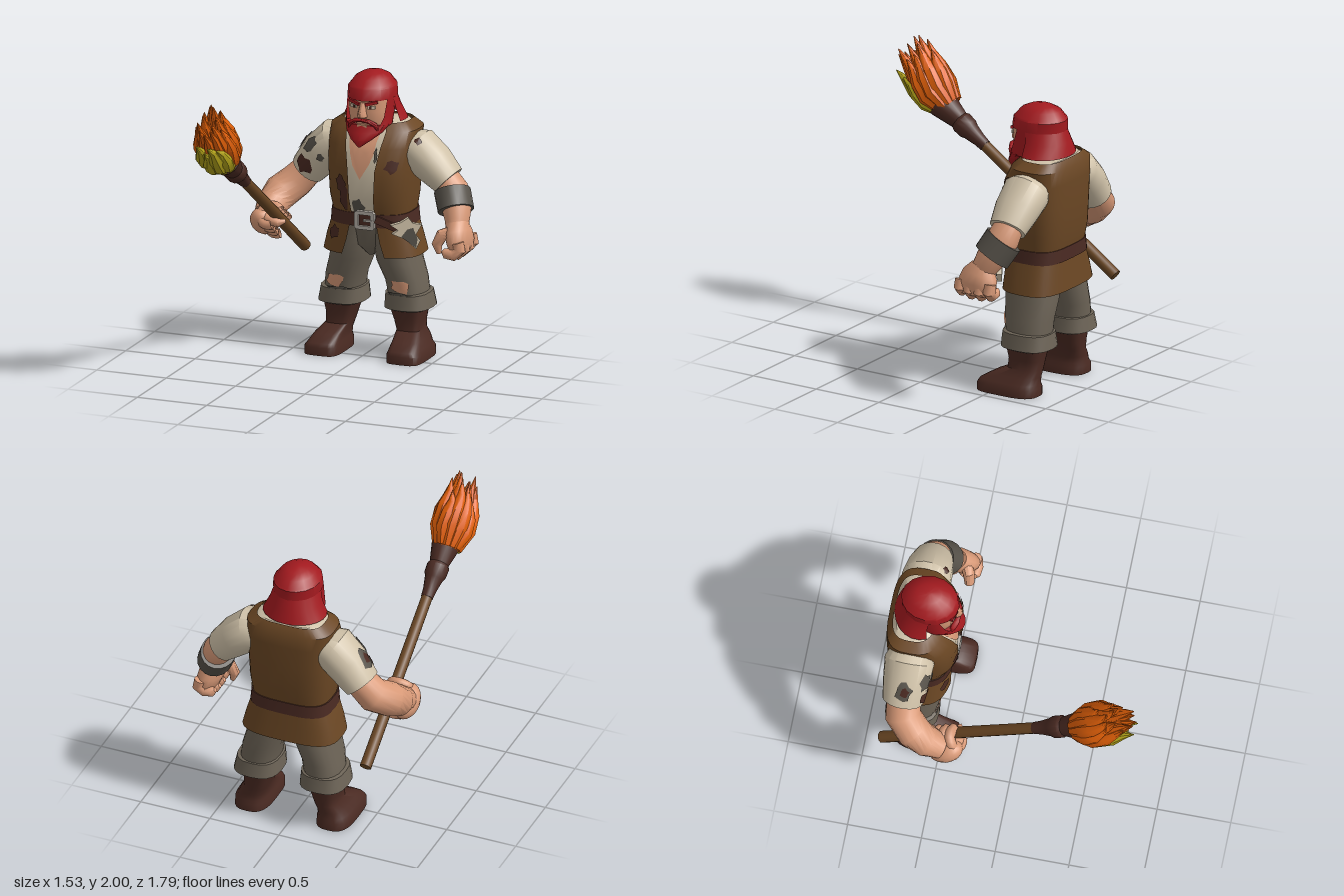
import * as THREE from 'three';
import { toCreasedNormals } from 'three/addons/utils/BufferGeometryUtils.js';

const paint = (name, color) => Object.assign(new THREE.MeshStandardMaterial({ color, side: THREE.DoubleSide }), { name });
const V = (x, y, z) => new THREE.Vector3(x, y, z);

// Point on a skin stretched over sections [x, y, z, rx, rz, openHalfAngle]; angle 0 faces +z.
// pow and backPow square off the front and back halves of each section.
function surface(rows, bent, pow, backPow) {
  const c = rows.map(r => V(r[0], r[1], r[2]));
  const frames = c.map((p, i) => {
    const t = bent ? c[Math.min(i + 1, c.length - 1)].clone().sub(c[Math.max(i - 1, 0)]).normalize() : V(0, 1, 0);
    const u = V(0, 0, 1).addScaledVector(t, -t.z).normalize();
    return [u, t.clone().cross(u)];
  });
  const at = (i, a, push) => {
    const bulge = v => Math.sign(v) * Math.abs(v) ** (Math.cos(a) < 0 ? backPow : pow);
    return c[i].clone().addScaledVector(frames[i][0], bulge(Math.cos(a)) * (rows[i][4] + push))
      .addScaledVector(frames[i][1], bulge(Math.sin(a)) * (rows[i][3] + push));
  };
  return (t, a, push = 0) => {
    const i = Math.max(0, Math.min(rows.length - 2, Math.floor(t)));
    return at(i, a, push).lerp(at(i + 1, a, push), t - i);
  };
}

function build(points, index) {
  const g = new THREE.BufferGeometry().setFromPoints(points);
  g.setIndex(index);
  return toCreasedNormals(g, 0.75);
}

function mesh(parent, name, mat, geo, pos = [0, 0, 0], rot = [0, 0, 0]) {
  const m = new THREE.Mesh(geo, mat);
  m.name = name;
  m.position.set(...pos);
  m.rotation.set(...rot);
  parent.add(m);
  return m;
}

function loft(parent, name, mat, rows, { n = 20, bent = false, pow = 1, backPow = pow } = {}) {
  const s = surface(rows, bent, pow, backPow), pts = [], idx = [], w = n + 1, last = rows.length - 1;
  const open = rows[0][5] !== undefined;
  rows.forEach((r, i) => {
    const o = r[5] || 0;
    for (let j = 0; j <= n; j++) pts.push(s(i, o + (2 * Math.PI - 2 * o) * j / n));
  });
  for (let i = 0; i < last; i++) for (let j = 0; j < n; j++) {
    const a = i * w + j;
    idx.push(a, a + 1, a + w + 1, a, a + w + 1, a + w);
  }
  if (!open) for (const i of [0, last]) {
    const k = pts.push(V(rows[i][0], rows[i][1], rows[i][2])) - 1;
    for (let j = 0; j < n; j++) {
      const a = i * w + j;
      idx.push(k, ...(i ? [a, a + 1] : [a + 1, a]));
    }
  }
  mesh(parent, name, mat, build(pts, idx));
  return s;
}

// Thin painted patch lying on a surface; outline is [t, angle] pairs.
function patch(parent, name, mat, s, outline, push = 0.007) {
  const n = outline.length, R = 4, pts = [], idx = [];
  const mid = [0, 1].map(k => outline.reduce((v, p) => v + p[k], 0) / n);
  for (let r = 0; r <= R; r++) for (const p of outline)
    pts.push(s(mid[0] + (p[0] - mid[0]) * r / R, mid[1] + (p[1] - mid[1]) * r / R, push));
  for (let r = 0; r < R; r++) for (let j = 0; j < n; j++) {
    const a = r * n + j, b = r * n + (j + 1) % n;
    idx.push(a, a + n, b + n, a, b + n, b);
  }
  mesh(parent, name, mat, build(pts, idx));
}
const blob = (t, a, dt, da) => Array.from({ length: 11 }, (_, i) => {
  const q = i / 11 * 2 * Math.PI, k = 0.9 + 0.18 * Math.sin(i * 2.6 + t * 5);
  return [t + Math.sin(q) * dt * k, a + Math.cos(q) * da * k];
});

export function createModel() {
  const root = new THREE.Group();
  const red = paint('red', 0xa31a1f), skin = paint('skin', 0xd99a78), leather = paint('brown', 0x6b4724),
    dark = paint('darkBrown', 0x4a2a22), cloth = paint('trouserGrey', 0x6c6356), linen = paint('linen', 0xcfc1a8),
    grey = paint('darkGrey', 0x57524a), orange = paint('orange', 0xe26008), yellow = paint('yellow', 0xb3a31a),
    metal = paint('metal', 0xb5aea6);
  const limb = { bent: true, n: 18 }, boxy = { pow: 0.75, backPow: 0.6, n: 32 };

  // Torso: shirt, open vest, belt and coat skirt
  const vestRows = [[.015, .98, -.675, .272, .208, .2], [.015, 1.1, -.667, .29, .237, .2], [.015, 1.3, -.668, .302, .242, .22],
    [.015, 1.45, -.685, .306, .226, .3], [.015, 1.555, -.712, .306, .195, .36], [.015, 1.605, -.722, .235, .15, .42]];
  const shirt = loft(root, 'shirt', linen, vestRows.map(r => [r[0], r[1] - .008, r[2], r[3] - .022, r[4] - .022]), boxy);
  const vest = loft(root, 'vest', leather, vestRows, boxy);
  const skirt = loft(root, 'coatSkirt', leather, [[.014, .7, -.685, .346, .225, .34], [.013, .8, -.682, .322, .217, .27],
    [.015, .95, -.675, .275, .208, .22]], boxy);
  loft(root, 'belt', dark, [[.015, .905, -.677, .29, .218], [.015, .995, -.675, .282, .216]], boxy);
  patch(root, 'bareChest', skin, shirt, [[1.7, -.02], [2.3, .09], [2.8, .17], [3.4, .19], [4.2, .26], [4.9, .3],
    [4.9, -.4], [4.2, -.38], [3.3, -.28], [2.7, -.22], [2.2, -.15]]);
  patch(root, 'shirtStain', grey, shirt, blob(.55, -.08, .5, .12));
  patch(root, 'shirtStain', grey, shirt, blob(2.75, .21, .4, .04), .01);
  patch(root, 'vestPatch', dark, vest, blob(2.25, .64, .32, .22));
  patch(root, 'vestStain', dark, vest, blob(.9, -.33, .7, .13));
  patch(root, 'vestStain', dark, vest, blob(1.5, -.4, .32, .14), .009);
  patch(root, 'skirtStain', dark, skirt, blob(1.25, -.66, .36, .2));

  // Buckle and rag tucked in the belt
  const frame = new THREE.Shape([[-.072, -.05], [-.058, -.063], [.058, -.063], [.072, -.05], [.072, .05], [.058, .063],
    [-.058, .063], [-.072, .05]].map(p => new THREE.Vector2(...p)));
  frame.holes.push(new THREE.Path([[-.044, -.038], [-.044, .038], [.044, .038], [.044, -.038]].map(p => new THREE.Vector2(...p))));
  mesh(root, 'buckle', metal, new THREE.ExtrudeGeometry(frame, { depth: .03, bevelEnabled: false }), [.035, .953, -.47]);
  mesh(root, 'buckleTongue', metal, new THREE.BoxGeometry(.065, .014, .02), [.06, .953, -.445]);
  mesh(root, 'hangingStrap', dark, new THREE.BoxGeometry(.2, .05, .02), [.2, .93, -.478], [0, .3, -.4]);
  const rag = new THREE.Shape([[-.1, .05], [-.05, .015], [-.09, -.01], [0, -.05], [.07, -.12], [.1, -.06], [.07, -.02],
    [.11, .05], [.05, .06], [.02, .1], [-.03, .07]].map(p => new THREE.Vector2(...p)));
  mesh(root, 'rag', linen, new THREE.ExtrudeGeometry(rag, { depth: .035, bevelEnabled: false }), [.295, .89, -.52], [0, .55, 0]);
  const ragStain = new THREE.Shape([[-.03, -.03], [.07, -.11], [.08, -.05], [.05, .03], [.01, .02]].map(p => new THREE.Vector2(...p)));
  mesh(root, 'ragStain', grey, new THREE.ShapeGeometry(ragStain), [.315, .89, -.487], [0, .55, 0]);

  // Legs, rolled cuffs and boots
  loft(root, 'hips', cloth, [[.02, .68, -.68, .03, .1], [.02, .76, -.68, .17, .17], [.015, .95, -.675, .25, .19]]);
  for (const s of [-1, 1]) {
    const side = s < 0 ? 'right' : 'left';
    const rows = list => list.map(([d, ...r]) => [.02 + s * d, ...r]);
    const leg = loft(root, side + 'TrouserLeg', cloth, rows([[.235, .38, -.71, .13, .155], [.215, .52, -.7, .133, .17],
      [.17, .65, -.69, .142, .187], [.145, .8, -.68, .15, .185], [.12, .95, -.675, .14, .18]]), { pow: .85 });
    patch(root, side + 'KneeTear', skin, leg, blob(.8, .12 * s, .36, .48));
    patch(root, side + 'KneeFlap', grey, leg, blob(.4, -.1 * s, .1, .6), .012);
    loft(root, side + 'TrouserCuff', cloth, rows([[.238, .315, -.71, .135, .15], [.238, .328, -.71, .163, .182],
      [.232, .43, -.705, .148, .172], [.23, .437, -.705, .12, .14]]), { pow: .75 });
    loft(root, side + 'Boot', dark, rows([[.295, 0, -.6, .126, .222], [.295, .055, -.6, .124, .222], [.29, .08, -.602, .11, .21],
      [.28, .125, -.64, .098, .172], [.255, .175, -.698, .083, .116], [.245, .24, -.705, .094, .116], [.237, .35, -.705, .122, .135]]),
      { pow: .45, backPow: .7, n: 24 });
  }

  // Left arm with bracer and relaxed hand
  const leftSleeve = loft(root, 'leftSleeve', linen, [[.22, 1.425, -.72, .11, .13], [.31, 1.41, -.72, .147, .168], [.42, 1.32, -.717, .138, .157],
    [.53, 1.215, -.715, .112, .132]], limb);
  patch(root, 'leftSleeveHole', dark, leftSleeve, blob(1, -.75, .22, .18));
  loft(root, 'leftForearm', skin, [[.49, 1.25, -.715, .09, .1], [.565, 1.16, -.705, .1, .115], [.61, 1.06, -.66, .1, .11],
    [.635, .97, -.61, .08, .09], [.645, .91, -.58, .07, .085]], limb);
  loft(root, 'leftBracer', grey, [[.56, 1.15, -.705, .118, .138], [.612, 1.035, -.645, .118, .135]], limb);
  loft(root, 'leftPalm', skin, [[.64, .97, -.595, .07, .085], [.655, .91, -.58, .085, .13], [.675, .85, -.57, .082, .145], [.68, .775, -.57, .055, .13]], limb);
  for (let i = 0; i < 4; i++) {
    const z = -.69 + i * .077, o = Math.abs(i - 1.5) * .012;
    loft(root, 'leftFinger', skin, [[.7, .87, z, .042, .04], [.712, .8 + o, z, .044, .044], [.675, .765 + o, z + .01, .04, .042],
      [.62, .772 + o, z + .01, .036, .036], [.597, .79 + o, z + .01, .016, .016]], { bent: true, n: 10 });
  }
  loft(root, 'leftThumb', skin, [[.64, .92, -.52, .045, .045], [.575, .9, -.485, .045, .04], [.545, .835, -.475, .036, .036], [.56, .775, -.475, .016, .016]], { bent: true, n: 10 });

  // Right arm reaching forward
  const rightSleeve = loft(root, 'rightSleeve', linen, [[-.19, 1.425, -.72, .11, .13], [-.28, 1.41, -.72, .147, .168], [-.38, 1.31, -.722, .145, .157],
    [-.485, 1.185, -.727, .122, .137]], limb);
  patch(root, 'sleeveStain', dark, rightSleeve, blob(2.55, .15, .36, .55));
  patch(root, 'sleeveStain', grey, rightSleeve, blob(1.75, .6, .42, .32));
  patch(root, 'sleeveStain', grey, rightSleeve, blob(1.7, -.2, .22, .2));
  patch(root, 'sleeveStain', grey, rightSleeve, blob(2.2, 1.55, .5, .4), .006);
  patch(root, 'sleeveStain', dark, rightSleeve, blob(2.2, 1.5, .25, .2), .009);
  loft(root, 'rightForearm', skin, [[-.44, 1.23, -.73, .1, .11], [-.56, 1.1, -.71, .115, .122], [-.64, 1.03, -.62, .12, .118],
    [-.665, .97, -.53, .108, .108], [-.665, .92, -.43, .085, .085]], limb);

  // Torch, with its own +y running along the shaft
  const torch = new THREE.Group();
  torch.name = 'torch';
  torch.position.set(-.565, 1.2, 0);
  torch.rotation.x = .966;
  root.add(torch);
  mesh(torch, 'shaft', leather, new THREE.CylinderGeometry(.038, .04, 1.26, 12), [0, -.41, 0]);
  const cup = [[.041, .22], [.046, .28], [.062, .36], [.075, .39], [.077, .45], [.066, .47], [.105, .64], [.09, .65], [.001, .62]];
  mesh(torch, 'torchCup', dark, toCreasedNormals(new THREE.LatheGeometry(cup.map(p => new THREE.Vector2(...p)), 14), .6));

  // Right fist wrapped round the shaft
  mesh(torch, 'rightPalm', skin, new THREE.SphereGeometry(1, 16, 12), [-.105, -.51, .03]).scale.set(.09, .13, .085);
  for (let i = 0; i < 4; i++)
    mesh(torch, 'rightFinger', skin, new THREE.TorusGeometry(.068, .036, 8, 14, 4.4), [-.035, -.6 + i * .058, .012], [Math.PI / 2, 0, 1.2]);
  loft(torch, 'rightThumb', skin, [[-.1, -.47, -.03, .04, .04], [-.04, -.425, .045, .038, .036], [.03, -.43, .06, .032, .03], [.075, -.44, .035, .014, .014]], { bent: true, n: 10 });

  // Flame: rings of tongues, the upper ones curling upward, yellow ones on the underside
  const base = V(-.58, 1.56, .5), m = V(0, .65, .76), e1 = V(1, 0, 0), e2 = V(0, .76, -.65);
  const tongue = (q, spread, length, mat) => {
    const p = (k, out, twist, r) => {
      const lift = (mat === yellow ? -.025 : .05 + .035 * Math.sin(q)) * k * k;
      const v = base.clone().addScaledVector(m, k * length).addScaledVector(e1, Math.cos(q + twist) * out * spread)
        .addScaledVector(e2, Math.sin(q + twist) * out * spread);
      return [v.x, v.y + lift, v.z - lift, r, r];
    };
    loft(root, 'flameTongue', mat, [p(-.05, .7, 0, .04), p(.28, 1.1, 0, .058), p(.55, 1.15, .1, .05),
      p(.8, .98, .2, .028), p(1, .95, .12, .003)], { bent: true, n: 8 });
  };
  for (let i = 0; i < 12; i++) {
    const q = i / 12 * 2 * Math.PI + .26, low = Math.sin(q) < -.6;
    tongue(q, .09, low ? .36 + .04 * Math.sin(i * 3) : .38 + .05 * Math.sin(i * 2.3), low ? yellow : orange);
  }
  for (let i = 0; i < 8; i++) tongue(i / 8 * 2 * Math.PI + .3, .06, .44 + .05 * Math.sin(i * 1.9 + .4), orange);
  for (const q of [-2.3, -1.6, -.9]) tongue(q, .062, .46, orange);
  tongue(1.5, .07, .465, orange);

  // Head
  loft(root, 'neck', skin, [[.015, 1.48, -.68, .12, .12], [.015, 1.64, -.65, .1, .11]]);
  loft(root, 'head', skin, [[.015, 1.5, -.6, .08, .09], [.015, 1.58, -.6, .125, .13], [.015, 1.7, -.6, .143, .142], [.015, 1.82, -.62, .145, .16]], { pow: .85 });
  loft(root, 'nose', skin, [[.015, 1.655, -.46, .024, .012], [.015, 1.668, -.46, .034, .042], [.015, 1.69, -.46, .03, .044], [.015, 1.765, -.465, .017, .014]], { n: 10 });
  loft(root, 'beard', red, [[.01, 1.468, -.415, .01, .012], [.01, 1.515, -.452, .075, .055], [.012, 1.56, -.51, .13, .088], [.015, 1.608, -.55, .157, .105]], { n: 12 });
  loft(root, 'sideburns', red, [[.015, 1.6, -.575, .157, .13, .75], [.015, 1.66, -.595, .156, .15, 1], [.015, 1.78, -.62, .155, .16, 1.15]], { pow: .85 });
  mesh(root, 'lip', skin, new THREE.BoxGeometry(.07, .028, .02), [.015, 1.6, -.455]);
  for (const s of [-1, 1]) {
    const x = d => .015 + s * d;
    loft(root, 'moustache', red, [[x(0), 1.645, -.447, .012, .018], [x(.05), 1.64, -.447, .015, .02], [x(.09), 1.615, -.466, .016, .02], [x(.105), 1.57, -.48, .01, .012]], { bent: true, n: 8 });
    mesh(root, 'eyebrow', red, new THREE.BoxGeometry(.085, .02, .025), [x(.06), 1.762, -.468], [0, s * .3, s * .25]);
    mesh(root, 'eye', linen, new THREE.BoxGeometry(.05, .022, .009), [x(.064), 1.736, -.462], [0, s * .3, 0]);
    mesh(root, 'pupil', dark, new THREE.BoxGeometry(.015, .02, .006), [x(.058), 1.736, -.455], [0, s * .3, 0]);
  }

  // Bandana with neck flap
  loft(root, 'bandana', red, [[.015, 1.77, -.635, .14, .17], [.015, 1.778, -.635, .163, .195], [.015, 1.85, -.642, .16, .19], [.015, 1.862, -.642, .148, .178],
    [.015, 1.905, -.645, .118, .142], [.015, 1.932, -.645, .07, .085], [.015, 1.945, -.645, .015, .02]], { n: 16 });
  loft(root, 'bandanaFlap', red, [[.015, 1.615, -.69, .22, .185, 1.2], [.015, 1.7, -.675, .178, .178, 1.3], [.015, 1.785, -.645, .155, .178, 1.4]], { n: 14 });
  return root;
}
